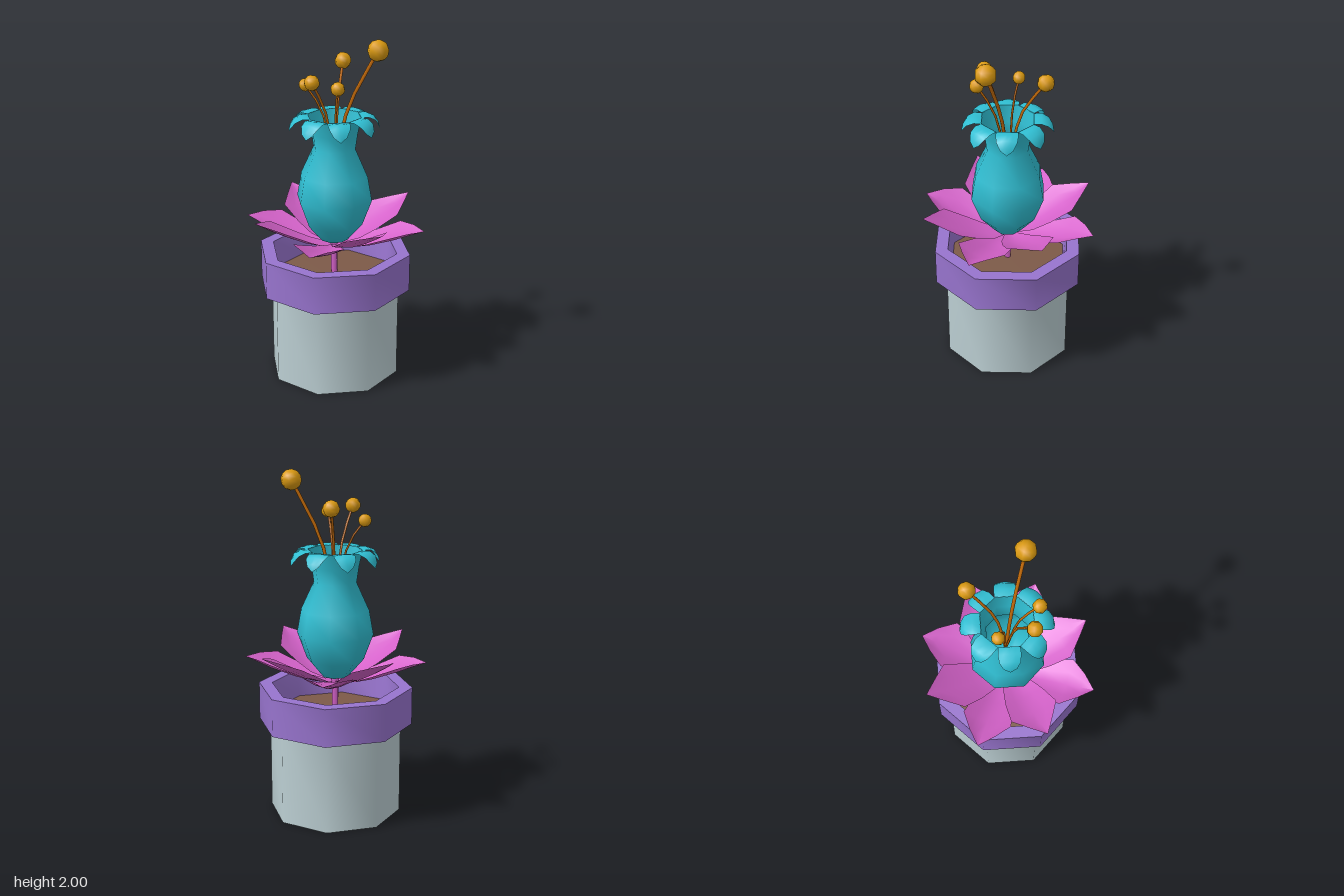
import * as THREE from 'three';
import { toCreasedNormals } from 'three/addons/utils/BufferGeometryUtils.js';

function material(name, color, side = THREE.FrontSide) {
  const m = new THREE.MeshStandardMaterial({ color, side });
  m.name = name;
  return m;
}

// Eight-sided turned part from [radius, y] points, keeping sharp rims
function turned(points, crease = 0.9) {
  const g = new THREE.LatheGeometry(points.map(([r, y]) => new THREE.Vector2(r, y)), 8);
  return toCreasedNormals(g, crease);
}

// Folded petal pointing to +z from rows of [z, halfWidth, centreY, edgeY]
function petal(rows) {
  const pos = [], index = [];
  rows.forEach(([z, w, yc, ye], i) => {
    pos.push(-w, ye, z, -w / 2, (yc * 2 + ye) / 3, z, 0, yc, z, w / 2, (yc * 2 + ye) / 3, z, w, ye, z);
    if (i === 0) return;
    for (let j = 0; j < 4; j++) {
      const a = (i - 1) * 5 + j, b = a + 5;
      index.push(a, b, a + 1, b, b + 1, a + 1);
    }
  });
  const g = new THREE.BufferGeometry();
  g.setAttribute('position', new THREE.Float32BufferAttribute(pos, 3));
  g.setIndex(index);
  g.computeVertexNormals();
  return g;
}

export function createModel() {
  const grey = material('potGrey', 0xbccfd3);
  const purple = material('rimPurple', 0x9874ce);
  const brown = material('soilBrown', 0x7d5a48);
  const pink = material('petalPink', 0xd562ca, THREE.DoubleSide);
  const cyan = material('bloomCyan', 0x30bfd3, THREE.DoubleSide);
  const orange = material('filamentOrange', 0xc66c0a);
  const gold = material('antherGold', 0xdb9a10);

  const model = new THREE.Group();
  const add = (name, geometry, mat, parent = model) => {
    const mesh = new THREE.Mesh(geometry, mat);
    mesh.name = name;
    parent.add(mesh);
    return mesh;
  };
  const ring = (name, count, offset, geometry, mat) => {
    const group = new THREE.Group();
    group.name = name;
    for (let i = 0; i < count; i++) {
      add('petal', geometry, mat, group).rotation.y = offset + (i / count) * Math.PI * 2;
    }
    model.add(group);
  };

  // Pot, rim and soil
  add('pot', turned([[0, 0], [0.382, 0], [0.382, 0.56]]), grey);
  add('rim', turned([[0.37, 0.54], [0.447, 0.54], [0.447, 0.76], [0.37, 0.76], [0.35, 0.58]]), purple);
  add('soil', turned([[0.36, 0.6], [0, 0.61]]), brown);

  // Stem
  const stem = add('stem', new THREE.CylinderGeometry(0.022, 0.018, 0.22, 6), pink);
  stem.position.y = 0.7;

  // Two whorls of four leafy petals
  ring('lowerPetals', 4, 0, petal([
    [0.01, 0.02, 0.775, 0.78], [0.12, 0.085, 0.785, 0.81], [0.22, 0.118, 0.805, 0.85],
    [0.36, 0.142, 0.85, 0.91], [0.45, 0.075, 0.885, 0.92], [0.527, 0, 0.913, 0.913]]), pink);
  ring('upperPetals', 4, Math.PI / 4, petal([
    [0.01, 0.02, 0.785, 0.79], [0.12, 0.085, 0.805, 0.825], [0.216, 0.118, 0.84, 0.875],
    [0.34, 0.143, 0.905, 0.945], [0.43, 0.07, 0.958, 0.98], [0.512, 0, 1.01, 1.01]]), pink);

  // Vase-shaped bloom with curled lip petals
  add('bloom', turned([[0, 0.8], [0.08, 0.82], [0.165, 0.92], [0.22, 1.07], [0.195, 1.21],
    [0.122, 1.37], [0.135, 1.46], [0.155, 1.555]], 1.2), cyan);
  ring('lipPetals', 8, Math.PI / 8, petal([
    [0.142, 0.059, 1.553, 1.553], [0.185, 0.062, 1.562, 1.555], [0.225, 0.056, 1.548, 1.535],
    [0.248, 0.036, 1.515, 1.5], [0.256, 0, 1.472, 1.472]]), cyan);

  // Stamens: [x, y, z, anther radius]
  const stamens = [
    [0.248, 1.94, 0.015, 0.06],
    [-0.006, 1.818, -0.217, 0.048],
    [-0.08, 1.78, 0.175, 0.044],
    [0.06, 1.75, 0.157, 0.04],
    [-0.166, 1.722, 0.006, 0.037]];
  for (const [x, y, z, r] of stamens) {
    const stamen = new THREE.Group();
    stamen.name = 'stamen';
    const end = new THREE.Vector3(x, y, z);
    const out = new THREE.Vector3(x, 0, z).setLength(0.072);
    const path = new THREE.CatmullRomCurve3([
      new THREE.Vector3(0, 1.15, -0.01), out.setY(1.58), end]);
    add('filament', new THREE.TubeGeometry(path, 6, r * 0.17, 5), orange, stamen);
    const anther = add('anther', new THREE.SphereGeometry(r, 8, 6), gold, stamen);
    anther.position.copy(end);
    anther.quaternion.setFromUnitVectors(new THREE.Vector3(0, 1, 0), path.getTangent(1));
    model.add(stamen);
  }
  return model;
}
